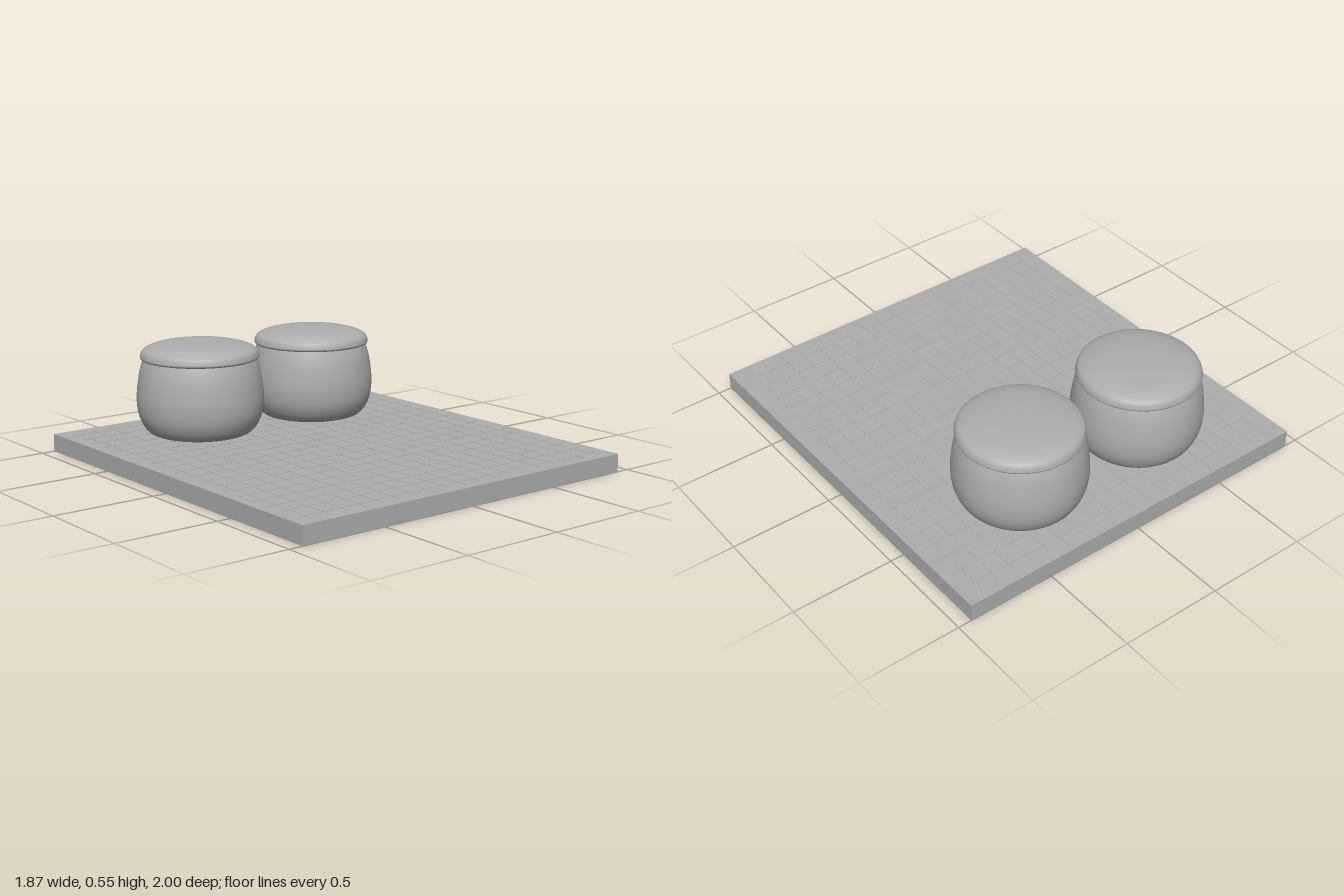
import * as THREE from 'three';

const WIDTH = 1.866, DEPTH = 2, THICK = 0.087, CELLS = 20;

// Smooth lathe profile: corner points joined by a spline
function lathe(points, material, name) {
  const curve = new THREE.SplineCurve(points.map(([r, y]) => new THREE.Vector2(r, y)));
  const profile = curve.getPoints(40).map(p => new THREE.Vector2(Math.max(p.x, 0), p.y));
  const mesh = new THREE.Mesh(new THREE.LatheGeometry(profile, 48), material);
  mesh.name = name;
  return mesh;
}

export function createModel() {
  const gray = new THREE.MeshStandardMaterial({ color: 0xadadad, side: THREE.DoubleSide });
  gray.name = 'plain gray';

  const model = new THREE.Group();
  model.name = 'boardWithBowls';

  // Slab of the game board
  const board = new THREE.Mesh(new THREE.BoxGeometry(WIDTH, THICK, DEPTH), gray);
  board.name = 'board';
  board.position.y = THICK / 2;
  model.add(board);

  // Fine raised grid on the playing face, in the same plain gray
  const grid = new THREE.Group();
  grid.name = 'gridLines';
  const thin = 0.003, height = 0.003;
  const dx = WIDTH / CELLS, dz = DEPTH / CELLS;
  const along = new THREE.BoxGeometry(thin, height, DEPTH - dz);
  const across = new THREE.BoxGeometry(WIDTH - dx, height, thin);
  for (let i = 1; i < CELLS; i++) {
    const lineZ = new THREE.Mesh(along, gray);
    lineZ.name = 'lengthwiseLine';
    lineZ.position.set(-WIDTH / 2 + i * dx, THICK, 0);
    const lineX = new THREE.Mesh(across, gray);
    lineX.name = 'crosswiseLine';
    lineX.position.set(0, THICK, -DEPTH / 2 + i * dz);
    grid.add(lineZ, lineX);
  }
  model.add(grid);

  // Two lidded stone bowls at the back of the board
  for (const side of [-1, 1]) {
    const bowl = new THREE.Group();
    bowl.name = side > 0 ? 'leftBowl' : 'rightBowl';
    bowl.position.set(side * 0.345, THICK, -0.58);

    const body = lathe([
      [0.215, 0.001], [0.247, 0.012], [0.278, 0.043], [0.303, 0.1], [0.312, 0.17],
      [0.308, 0.24], [0.297, 0.31], [0.281, 0.365], [0.272, 0.385],
    ], gray, 'bowlBody');

    const base = new THREE.Mesh(new THREE.CircleGeometry(0.216, 48), gray);
    base.name = 'bowlBase';
    base.rotation.x = Math.PI / 2;
    base.position.y = 0.001;

    // Domed lid with a rounded, overhanging rim
    const lid = lathe([
      [0.262, 0.374], [0.282, 0.374], [0.291, 0.381], [0.291, 0.392], [0.282, 0.414],
      [0.258, 0.43], [0.21, 0.445], [0.14, 0.455], [0.07, 0.459], [0, 0.46],
    ], gray, 'bowlLid');

    bowl.add(body, base, lid);
    model.add(bowl);
  }
  return model;
}
